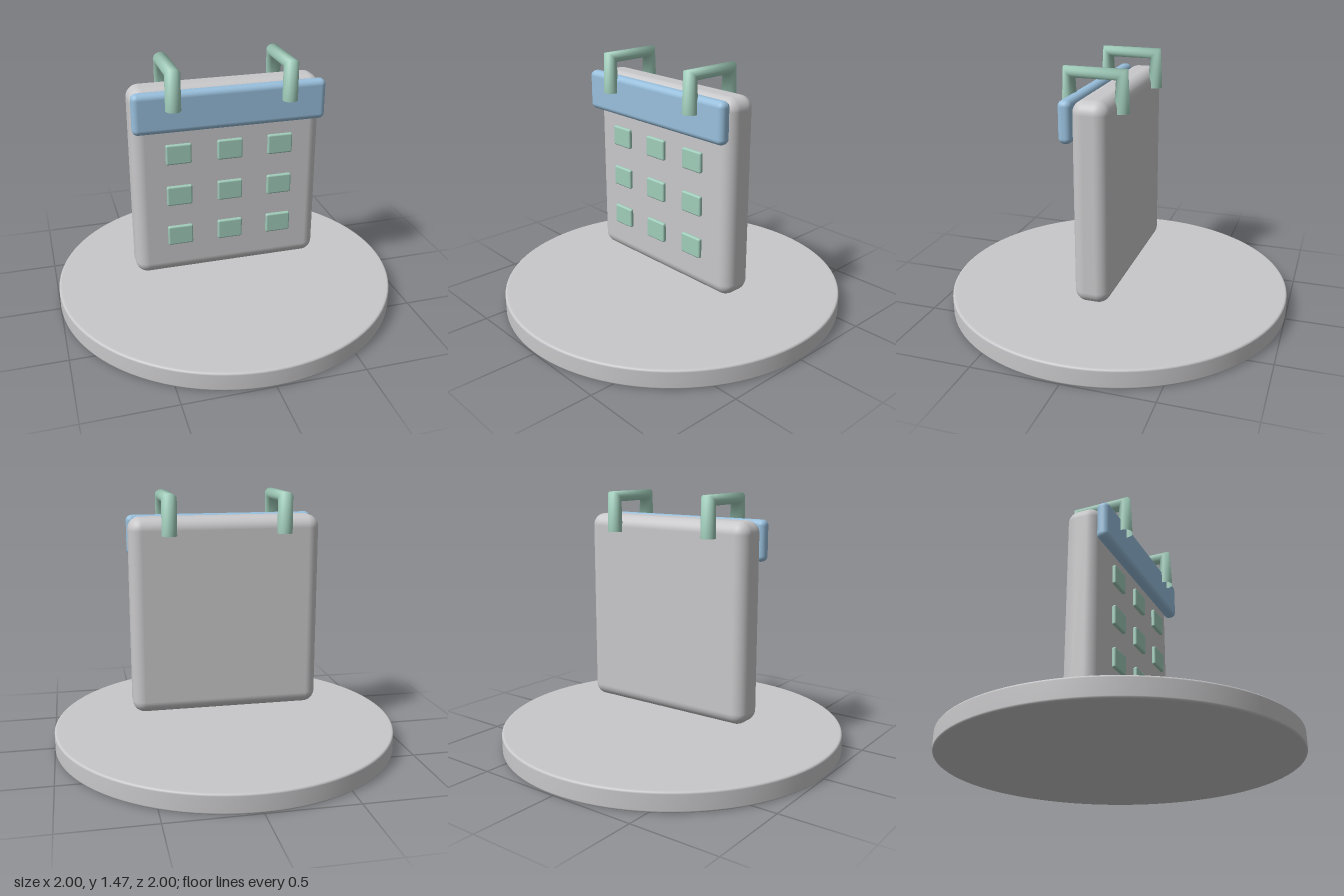
import * as THREE from 'three';
import { RoundedBoxGeometry } from 'three/addons/geometries/RoundedBoxGeometry.js';

const mat = (name, color) => {
  const m = new THREE.MeshStandardMaterial({ color });
  m.name = name;
  return m;
};

// Path through straight runs whose corner sections lie on the bisecting plane
class CornerPath extends THREE.Curve {
  constructor(points) {
    super();
    this.points = points;
  }
  getPoint(t, target = new THREE.Vector3()) {
    const n = this.points.length - 1;
    const i = Math.min(Math.floor(t * n + 1e-6), n - 1);
    return target.lerpVectors(this.points[i], this.points[i + 1], t * n - i);
  }
  getPointAt(u, target) {
    return this.getPoint(u, target);
  }
  getTangentAt(u, target = new THREE.Vector3()) {
    const p = this.points, n = p.length - 1, i = Math.round(u * n);
    target.set(0, 0, 0);
    if (i > 0) target.add(p[i].clone().sub(p[i - 1]).normalize());
    if (i < n) target.add(p[i + 1].clone().sub(p[i]).normalize());
    return target.normalize();
  }
}

export function createModel() {
  const model = new THREE.Group();
  model.name = 'calendarOnStand';
  const grey = mat('light grey', 0xc8c8ca);
  const blue = mat('soft blue', 0x98bfdc);
  const green = mat('sage green', 0xa0ccba);
  green.side = THREE.DoubleSide;

  const add = (name, geometry, material, x = 0, y = 0, z = 0) => {
    const mesh = new THREE.Mesh(geometry, material);
    mesh.name = name;
    mesh.position.set(x, y, z);
    model.add(mesh);
    return mesh;
  };

  // Round base with a fine rounded rim
  const h = 0.11, r = 0.012;
  const profile = [[0, 0], [0.98, 0]];
  for (const [cy, start] of [[r, -Math.PI / 2], [h - r, 0]]) {
    for (let i = 0; i <= 4; i++) {
      const a = start + (i / 4) * Math.PI / 2;
      profile.push([1 - r + Math.cos(a) * r, cy + Math.sin(a) * r]);
    }
  }
  profile.push([0.98, h], [0, h]);
  add('base', new THREE.LatheGeometry(profile.map(([x, y]) => new THREE.Vector2(x, y)), 96), grey);

  // Calendar body and header band
  add('body', new RoundedBoxGeometry(1.09, 1.125, 0.2, 6, 0.07), grey, 0, 0.768, 0);
  add('headerBand', new RoundedBoxGeometry(1.09, 0.23, 0.074, 5, 0.032), blue, 0, 1.215, 0.129);

  // Three by three grid of day tiles
  const tile = new RoundedBoxGeometry(0.145, 0.117, 0.025, 3, 0.01);
  for (const y of [0.963, 0.713, 0.463]) {
    for (const x of [-0.293, 0, 0.293]) add('dayTile', tile, green, x, y, 0.123);
  }

  // Binding rings hooked over the top edge
  const path = new CornerPath([[1.235, 0.175], [1.437, 0.175], [1.437, -0.115], [1.235, -0.115]]
    .map(([y, z]) => new THREE.Vector3(0, y, z)));
  const ring = new THREE.TubeGeometry(path, 3, 0.043, 24, false);
  for (const side of [-1, 1]) add(side < 0 ? 'rightRing' : 'leftRing', ring, green, side * 0.327);

  return model;
}
